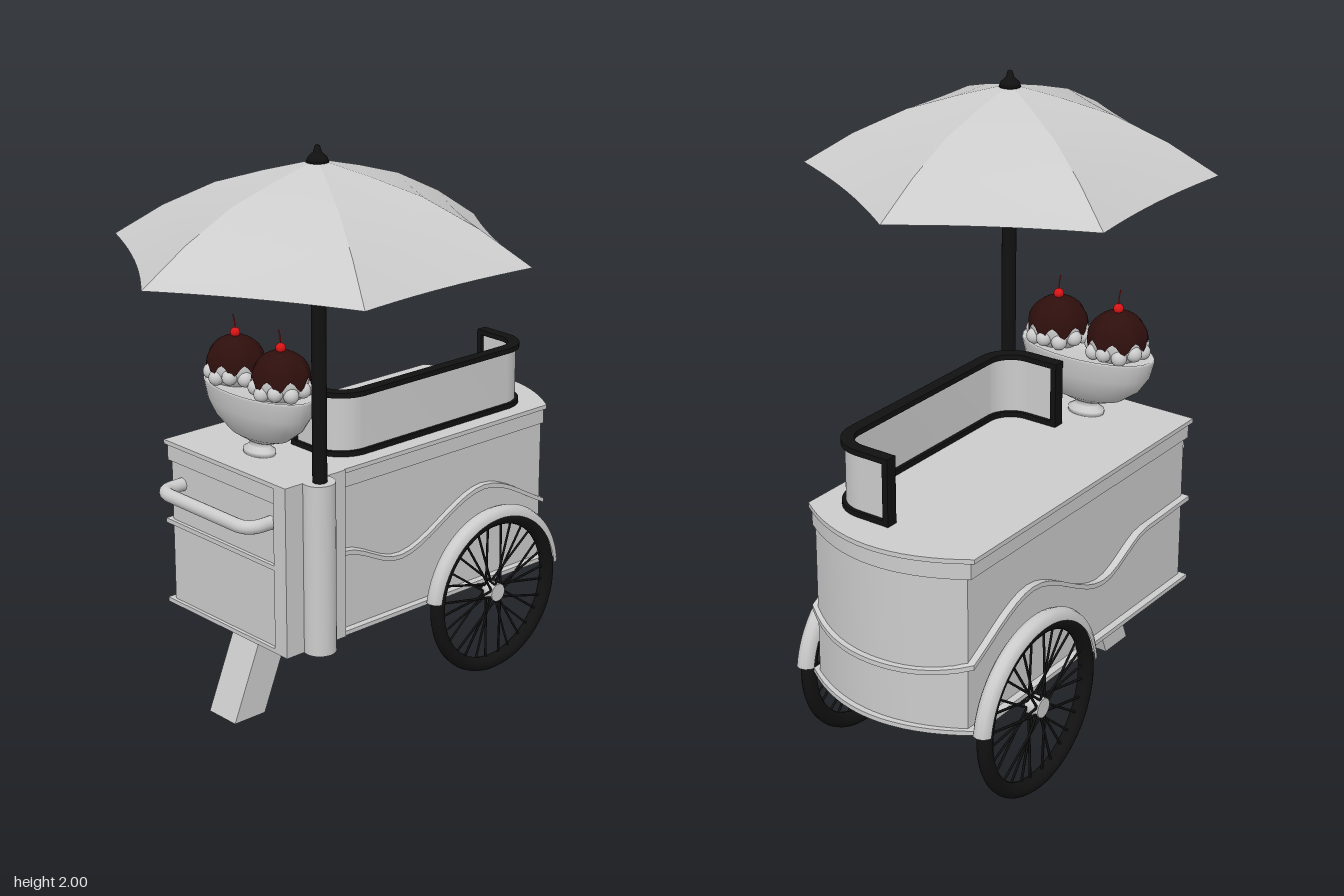
import * as THREE from 'three';
import { mergeGeometries, toCreasedNormals } from 'three/addons/utils/BufferGeometryUtils.js';

const material = (color, side = THREE.FrontSide) => new THREE.MeshStandardMaterial({ color, side });
const grey = material(0xcccccc), greyThin = material(0xcccccc, THREE.DoubleSide);
const black = material(0x111111), sauceBrown = material(0x2e0f0d, THREE.DoubleSide), red = material(0xd81414);
const V = (x, y, z) => new THREE.Vector3(x, y, z);
const MID_Z = -0.28, LEFT = -0.385, END = 0.82;

export function createModel() {
  const model = new THREE.Group();
  const add = (name, geometry, mat = grey, x = 0, y = 0, z = 0, parent = model) => {
    const mesh = new THREE.Mesh(geometry, mat);
    mesh.name = name;
    mesh.position.set(x, y, z);
    parent.add(mesh);
    return mesh;
  };
  const lathe = (pts, n = 32) => new THREE.LatheGeometry(pts.map(p => new THREE.Vector2(...p)), n);

  // Extrudes a plan drawn in (x, -z) upwards from y0 to y1
  const slab = (shape, y0, y1) => {
    const g = new THREE.ExtrudeGeometry(shape, { depth: y1 - y0, bevelEnabled: false, curveSegments: 10 });
    g.rotateX(-Math.PI / 2).translate(0, y0, 0);
    return toCreasedNormals(g, 0.5);
  };

  // Cart outline in (x, -z): straight sides and one bowed end
  const plan = (half, bow, left = LEFT) => {
    const pts = [], n = 28;
    for (let i = 0; i < n; i++) pts.push(new THREE.Vector2(left + (END - left) * i / n, -MID_Z - half));
    for (let i = 0; i <= 16; i++) {
      const s = i / 8 - 1;
      pts.push(new THREE.Vector2(END + bow * (1 - s * s), -MID_Z + s * half));
    }
    for (let i = n - 1; i >= 0; i--) pts.push(new THREE.Vector2(left + (END - left) * i / n, -MID_Z + half));
    return pts;
  };
  const layer = (name, half, bow, y0, y1, left) =>
    add(name, slab(new THREE.Shape(plan(half, bow, left)), y0, y1));

  // Cart body in layers
  layer('body', 0.285, 0.09, 0.325, 0.9, -0.372);
  layer('basePlate', 0.31, 0.11, 0.32, 0.335);
  layer('lidBand', 0.297, 0.1, 0.84, 0.9, -0.38);
  layer('lid', 0.31, 0.11, 0.895, 0.91);

  // Wavy ridge running round the body
  const keys = [[LEFT, 0.62], [-0.13, 0.615], [0.12, 0.53], [0.52, 0.68], [0.94, 0.52]];
  const waveY = x => {
    let i = 0;
    while (i < keys.length - 2 && x > keys[i + 1][0]) i++;
    const t = THREE.MathUtils.smoothstep(x, keys[i][0], keys[i + 1][0]);
    return THREE.MathUtils.lerp(keys[i][1], keys[i + 1][1], t);
  };
  const outer = plan(0.308, 0.11), inner = plan(0.27, 0.08, -0.36), ridgePos = [], ridgeIdx = [];
  outer.forEach((o, i) => {
    const n = inner[i], y = waveY(o.x);
    for (const [p, h] of [[o, -0.008], [o, 0.008], [n, 0.008], [n, -0.008]]) ridgePos.push(p.x, y + h, -p.y);
    for (let k = 0; k < 4; k++) {
      const j = (i + 1) % outer.length, k2 = (k + 1) % 4;
      const a = i * 4 + k, b = j * 4 + k, c = j * 4 + k2, d = i * 4 + k2;
      ridgeIdx.push(a, b, c, a, c, d);
    }
  });
  const ridge = new THREE.BufferGeometry();
  ridge.setAttribute('position', new THREE.Float32BufferAttribute(ridgePos, 3));
  ridge.setIndex(ridgeIdx);
  add('wavyRidge', toCreasedNormals(ridge, 0.5));

  // Umbrella holder: flat panel with a round column
  add('holderPanel', new THREE.BoxGeometry(0.255, 0.59, 0.06), grey, -0.2575, 0.615, 0.006);
  add('holderColumn', new THREE.CylinderGeometry(0.055, 0.055, 0.59, 32), grey, -0.26, 0.615, 0.055);

  // Umbrella: pole, six-panel canopy, finial
  const umbrella = new THREE.Group();
  umbrella.name = 'umbrella';
  umbrella.position.set(-0.26, 0, 0.06);
  model.add(umbrella);
  add('pole', new THREE.CylinderGeometry(0.024, 0.024, 1.06, 24), black, 0, 1.42, 0, umbrella);
  add('finial', lathe([[0, 1.945], [0.036, 1.945], [0.03, 1.96], [0.014, 1.975], [0.008, 1.995], [0, 2]]), black, 0, 0, 0, umbrella);
  const ribs = [[0.004, 1.953], [0.17, 1.91], [0.335, 1.86], [0.51, 1.775], [0.675, 1.67]], steps = 10;
  const panels = [];
  for (let p = 0; p < 6; p++) {
    const a = p * Math.PI / 3, b = a + Math.PI / 3, pos = [], idx = [];
    ribs.forEach(([r, y], j) => {
      for (let k = 0; k <= steps; k++) {
        const u = k / steps, q = r * (1 - 0.14 * u * (1 - u) * r / 0.675);
        pos.push(q * ((1 - u) * Math.cos(a) + u * Math.cos(b)), y, q * ((1 - u) * Math.sin(a) + u * Math.sin(b)));
        if (j < ribs.length - 1 && k < steps) {
          const i = j * (steps + 1) + k, n = i + steps + 1;
          idx.push(i, i + 1, n, i + 1, n + 1, n);
        }
      }
    });
    const g = new THREE.BufferGeometry();
    g.setAttribute('position', new THREE.Float32BufferAttribute(pos, 3));
    g.setIndex(idx);
    g.computeVertexNormals();
    panels.push(g);
  }
  add('canopy', mergeGeometries(panels), greyThin, 0, 0, 0, umbrella);

  // Wheels with crossed spokes, each under a rounded fender
  const rod = (a, b, r) => {
    const d = b.clone().sub(a), g = new THREE.CylinderGeometry(r, r, d.length(), 6);
    g.applyQuaternion(new THREE.Quaternion().setFromUnitVectors(V(0, 1, 0), d.normalize()));
    const m = a.clone().add(b).multiplyScalar(0.5);
    return g.translate(m.x, m.y, m.z);
  };
  const spokes = [];
  for (let i = 0; i < 28; i++) {
    const a = Math.floor(i / 2) * Math.PI / 7, e = a + (i % 2 ? 0.55 : -0.55), z = i % 4 < 2 ? 0.018 : -0.018;
    spokes.push(rod(V(0.028 * Math.cos(a), 0.028 * Math.sin(a), z), V(0.255 * Math.cos(e), 0.255 * Math.sin(e), 0), 0.0042));
  }
  const spokeGeometry = mergeGeometries(spokes);
  const fenderProfile = [[0.28, -0.029], [0.295, -0.027], [0.309, -0.017], [0.315, 0], [0.309, 0.017], [0.295, 0.027], [0.28, 0.029]];
  const fender = new THREE.LatheGeometry(fenderProfile.map(p => new THREE.Vector2(...p)), 40, Math.PI / 2 + 0.13, Math.PI - 0.26);
  fender.rotateX(Math.PI / 2);
  for (const [side, z] of [['front', 0.06], ['back', -0.62]]) {
    const wheel = new THREE.Group();
    wheel.name = side + 'Wheel';
    wheel.position.set(0.54, 0.295, z);
    model.add(wheel);
    add('tire', new THREE.TorusGeometry(0.27, 0.025, 14, 64), black, 0, 0, 0, wheel);
    add('spokes', spokeGeometry, black, 0, 0, 0, wheel);
    add('hub', new THREE.CylinderGeometry(0.032, 0.032, 0.05, 24).rotateX(Math.PI / 2), grey, 0, 0, 0, wheel);
    add('fender', fender, greyThin, 0, 0, 0, wheel);
  }
  add('axle', new THREE.CylinderGeometry(0.012, 0.012, 0.68, 16).rotateX(Math.PI / 2), black, 0.54, 0.3, MID_Z);

  // Slanted support leg
  const leg = new THREE.Shape([[-0.41, 0], [-0.28, 0], [-0.145, 0.33], [-0.275, 0.33]].map(p => new THREE.Vector2(...p)));
  add('leg', new THREE.ExtrudeGeometry(leg, { depth: 0.135, bevelEnabled: false }), grey, 0, 0, -0.345);

  // Push handle on the flat end
  const grip = new THREE.CurvePath(), w = 0.23, r = 0.06, hx = -0.468;
  const h = (x, z) => V(x, 0.768, MID_Z + z);
  grip.add(new THREE.LineCurve3(h(-0.36, -w), h(hx + r, -w)));
  grip.add(new THREE.QuadraticBezierCurve3(h(hx + r, -w), h(hx, -w), h(hx, -w + r)));
  grip.add(new THREE.LineCurve3(h(hx, -w + r), h(hx, w - r)));
  grip.add(new THREE.QuadraticBezierCurve3(h(hx, w - r), h(hx, w), h(hx + r, w)));
  grip.add(new THREE.LineCurve3(h(hx + r, w), h(-0.36, w)));
  add('handle', new THREE.TubeGeometry(grip, 80, 0.023, 14));

  // U-shaped counter guard: pane, rails and end posts
  const gl = -0.08, gr = 0.79, front = 0.05, back = 0.265, cr = 0.1;
  const guardPlan = t => {
    const s = new THREE.Shape(), PI = Math.PI, cy = front + cr;
    s.moveTo(gl - t, back);
    s.lineTo(gl - t, cy);
    s.absarc(gl + cr, cy, cr + t, PI, 1.5 * PI);
    s.absarc(gr - cr, cy, cr + t, 1.5 * PI, 2 * PI);
    s.lineTo(gr + t, back);
    s.lineTo(gr - t, back);
    s.absarc(gr - cr, cy, cr - t, 2 * PI, 1.5 * PI, true);
    s.absarc(gl + cr, cy, cr - t, 1.5 * PI, PI, true);
    s.lineTo(gl + t, back);
    return s;
  };
  add('guardPane', slab(guardPlan(0.008), 0.92, 1.12));
  add('guardBottomRail', slab(guardPlan(0.02), 0.91, 0.928), black);
  add('guardTopRail', slab(guardPlan(0.02), 1.112, 1.13), black);
  for (const x of [gl, gr]) add('guardPost', new THREE.BoxGeometry(0.04, 0.22, 0.02), black, x, 1.02, -0.257);

  // Long sundae bowl on a foot
  const sundae = new THREE.Group();
  sundae.name = 'sundae';
  sundae.position.set(-0.23, 0, -0.275);
  model.add(sundae);
  add('bowlFoot', lathe([[0, 0.91], [0.046, 0.91], [0.046, 0.925], [0.03, 0.938], [0.026, 0.95], [0.04, 0.975]]), greyThin, 0, 0, 0, sundae).scale.z = 1.4;
  add('bowl', lathe([[0, 0.95], [0.03, 0.955], [0.065, 0.98], [0.095, 1.025], [0.112, 1.075], [0.12, 1.135], [0.118, 1.143], [0.11, 1.137], [0, 1.125]]), greyThin, 0, 0, 0, sundae).scale.z = 2.05;

  // Scoops with a lobed skirt, dripping sauce and a cherry
  const sauce = new THREE.SphereGeometry(0.098, 48, 16, 0, Math.PI * 2, 0, Math.PI / 2);
  const sp = sauce.attributes.position;
  for (let i = 0; i < sp.count; i++) {
    const x = sp.getX(i), y = sp.getY(i), z = sp.getZ(i);
    const low = (1 - y / 0.098) ** 2;
    sp.setY(i, y - low * 0.018 * Math.cos(8 * Math.atan2(z, x)));
  }
  sauce.computeVertexNormals();
  for (const z of [-0.115, 0.115]) {
    const scoop = new THREE.Group();
    scoop.name = 'scoop';
    scoop.position.set(0, 1.192, z);
    sundae.add(scoop);
    add('iceCream', new THREE.SphereGeometry(0.09, 32, 20), grey, 0, 0, 0, scoop);
    for (let i = 0; i < 10; i++) {
      const a = i * Math.PI / 5;
      add('skirtLobe', new THREE.SphereGeometry(0.026, 14, 10), grey, 0.083 * Math.cos(a), i % 2 ? -0.032 : -0.024, 0.083 * Math.sin(a), scoop);
    }
    add('sauce', sauce, sauceBrown, 0, 0, 0, scoop);
    add('cherry', new THREE.SphereGeometry(0.017, 16, 12), red, 0, 0.106, 0, scoop);
    const stalk = new THREE.QuadraticBezierCurve3(V(0, 0.118, 0), V(0, 0.145, 0), V(-0.006, 0.168, -0.003));
    add('cherryStalk', new THREE.TubeGeometry(stalk, 8, 0.0022, 6), red, 0, 0, 0, scoop);
  }
  return model;
}
